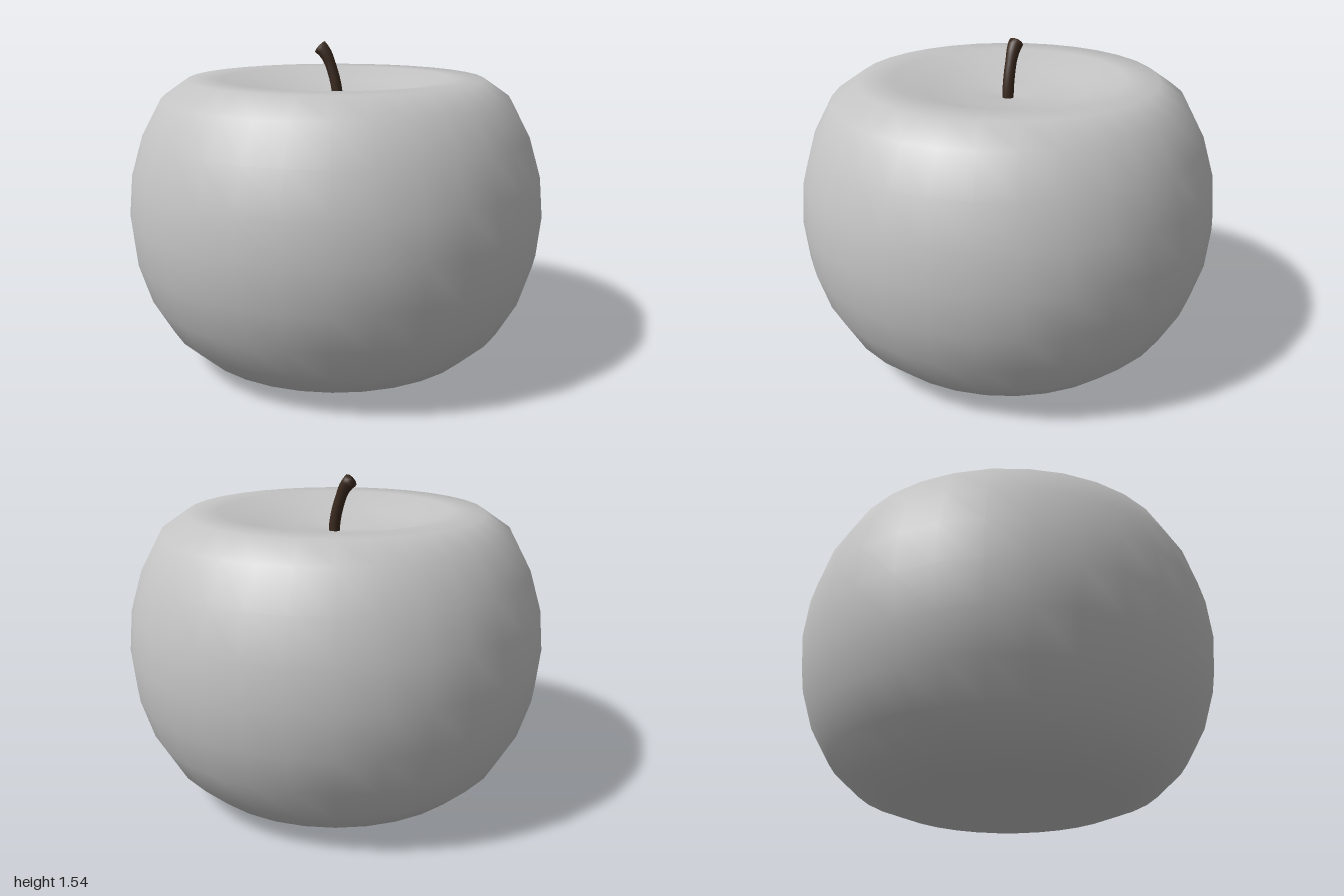
import * as THREE from 'three';

export function createModel() {
  const group = new THREE.Group();
  const skin = new THREE.MeshStandardMaterial({ color: 0xc4c4c4 });
  skin.name = 'grey skin';
  const bark = new THREE.MeshStandardMaterial({ color: 0x3a291e });
  bark.name = 'dark brown stem';

  // Fruit body: a sphere profile with flattened base and a dimpled top
  const profile = [
    [0, 0.015], [0.195, 0.008], [0.383, 0.003], [0.556, 0.018], [0.707, 0.075],
    [0.831, 0.19], [0.924, 0.355], [0.981, 0.54], [1, 0.735], [0.981, 0.93],
    [0.924, 1.118], [0.831, 1.29], [0.707, 1.376], [0.556, 1.376],
    [0.383, 1.317], [0.195, 1.295], [0, 1.27],
  ].map(([r, y]) => new THREE.Vector2(r, y));
  const body = new THREE.Mesh(new THREE.LatheGeometry(profile, 32), skin);
  body.name = 'fruitBody';
  group.add(body);

  // Stem: a bent tube that thickens at the tip and closes with a flat cap
  const curve = new THREE.CatmullRomCurve3([
    new THREE.Vector3(0.008, 1.24, -0.005),
    new THREE.Vector3(0.003, 1.32, -0.003),
    new THREE.Vector3(-0.018, 1.41, 0.004),
    new THREE.Vector3(-0.052, 1.49, 0.014),
    new THREE.Vector3(-0.094, 1.533, 0.025),
  ]);
  const rings = 14, sides = 10;
  const geo = new THREE.TubeGeometry(curve, rings, 0.027, sides);
  const pos = geo.attributes.position;
  const p = new THREE.Vector3();
  for (let i = 0; i <= rings; i++) {
    const capped = i === rings;
    const t = i / rings;
    const centre = curve.getPointAt(t);
    const scale = capped ? 0 : 1 + 0.4 * Math.max(0, (t - 0.65) / 0.35);
    for (let j = 0; j <= sides; j++) {
      const k = i * (sides + 1) + j;
      p.fromBufferAttribute(pos, k).sub(centre).multiplyScalar(scale).add(centre);
      // The last ring closes the tip just beyond the ring before it
      if (capped) p.lerp(curve.getPointAt((rings - 1) / rings), 0.6);
      pos.setXYZ(k, p.x, p.y, p.z);
    }
  }
  geo.computeVertexNormals();
  const stem = new THREE.Mesh(geo, bark);
  stem.name = 'stem';
  group.add(stem);

  return group;
}
